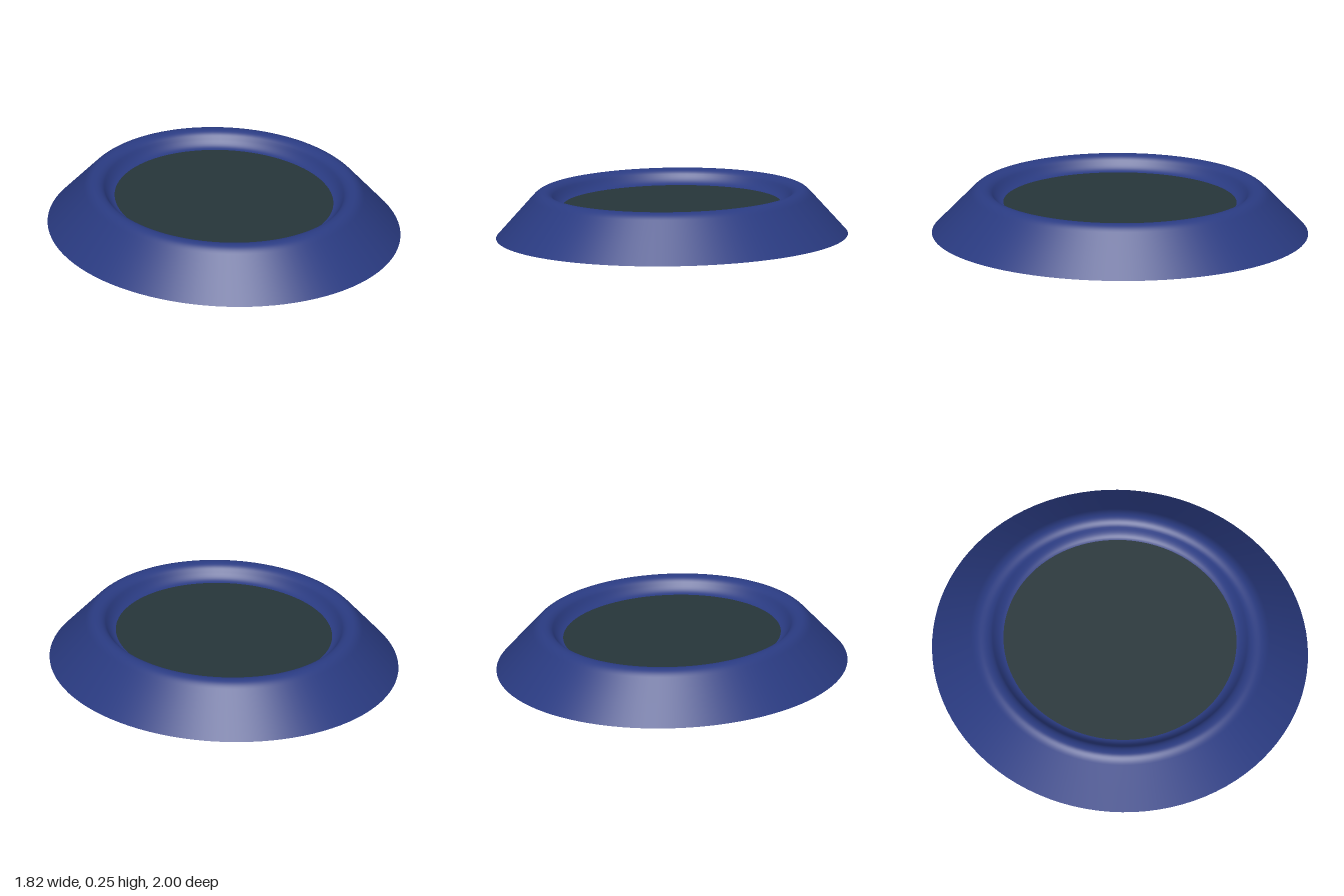
import * as THREE from 'three';

const SEGMENTS = 96;
const OVAL = 0.91; // width of the oval relative to its length

export function createModel() {
  const model = new THREE.Group();
  model.name = 'ovalBezel';
  const blue = new THREE.MeshStandardMaterial({ color: 0x2a3b82 });
  const dark = new THREE.MeshStandardMaterial({ color: 0x26353a });

  function add(name, geometry, material) {
    geometry.scale(OVAL, 1, 1);
    const mesh = new THREE.Mesh(geometry, material);
    mesh.name = name;
    model.add(mesh);
  }

  // Flat horizontal disc facing up or down
  function disc(radius, y, up) {
    return new THREE.CircleGeometry(radius, SEGMENTS)
      .rotateX(up ? -Math.PI / 2 : Math.PI / 2)
      .translate(0, y, 0);
  }

  // Sloping side, rounded crest and curved inner wall
  const profile = new THREE.Path();
  profile.moveTo(1, 0);
  profile.lineTo(0.9, 0.105);
  profile.lineTo(0.795, 0.215);
  profile.quadraticCurveTo(0.765, 0.247, 0.735, 0.247);
  profile.quadraticCurveTo(0.7, 0.247, 0.68, 0.222);
  profile.quadraticCurveTo(0.65, 0.174, 0.62, 0.172);
  add('rim', new THREE.LatheGeometry(profile.getPoints(8), SEGMENTS), blue);

  // Recessed panel and closed underside
  add('recessedPanel', disc(0.622, 0.172, true), dark);
  add('underside', disc(1, 0, false), blue);

  return model;
}
